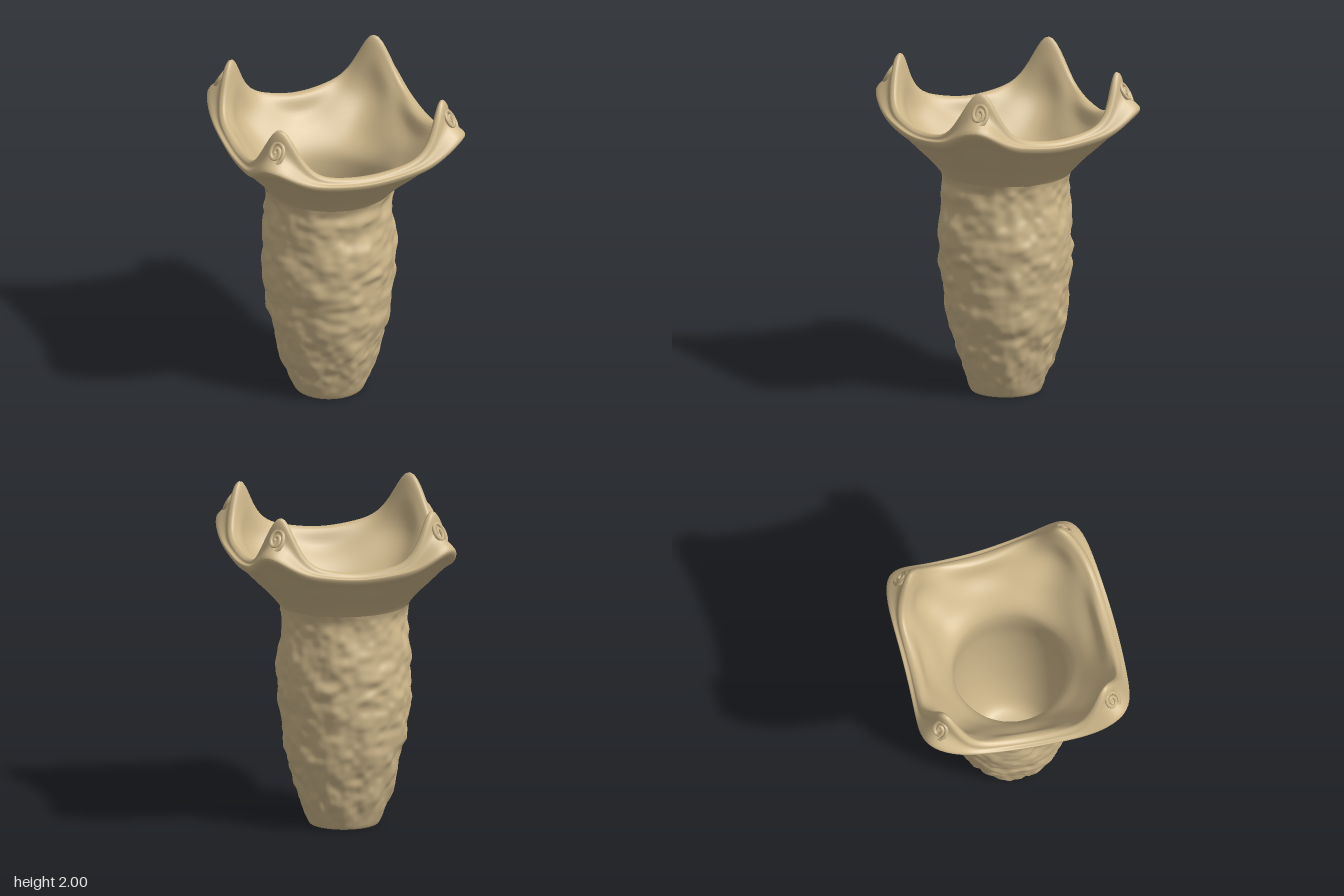
import * as THREE from 'three';

const V = (x, y, z) => new THREE.Vector3(x, y, z);
const COLS = 176;
const CORNERS = [72, 162, 246, 333, 432].map(THREE.MathUtils.degToRad); // rim corners
const lerp = THREE.MathUtils.lerp;

// Closed loft: point(i, j) gives the vertex of column i, row j (outer face when rows rise)
function loft(rows, point) {
  const pos = [], idx = [];
  for (let j = 0; j < rows; j++)
    for (let i = 0; i < COLS; i++) {
      const p = point(i, j);
      pos.push(p.x, p.y, p.z);
      if (j === rows - 1) continue;
      const a = j * COLS + i, b = j * COLS + (i + 1) % COLS;
      idx.push(a, a + COLS, b, b, a + COLS, b + COLS);
    }
  const g = new THREE.BufferGeometry();
  g.setAttribute('position', new THREE.Float32BufferAttribute(pos, 3));
  g.setIndex(idx);
  g.computeVertexNormals();
  return g;
}

// Smooth value noise, periodic in a with the given period
function noise(a, b, period) {
  const hash = (i, j) => {
    const s = Math.sin((((i % period) + period) % period) * 127.1 + j * 311.7 + period) * 43758.5453;
    return s - Math.floor(s);
  };
  const i = Math.floor(a), j = Math.floor(b);
  const s = THREE.MathUtils.smoothstep(a - i, 0, 1), t = THREE.MathUtils.smoothstep(b - j, 0, 1);
  return lerp(lerp(hash(i, j), hash(i + 1, j), s), lerp(hash(i, j + 1), hash(i + 1, j + 1), s), t) - 0.5;
}

// Column number to angle, with d the offset from the nearest corner
function column(i) {
  const u = (i / COLS) * 4, k = Math.floor(u), f = u - k;
  return { angle: lerp(CORNERS[k], CORNERS[k + 1], f), d: (f < 0.5 ? f : f - 1) * Math.PI / 2 };
}

// One radial section of the flared bowl: outside, lip, curled tip, inside, floor
function bowlSection(i) {
  const { angle, d } = column(i);
  const e = d + Math.PI / 4;
  const R = 0.64 / Math.pow(Math.abs(Math.cos(e)) ** 7 + Math.abs(Math.sin(e)) ** 7, 1 / 7);
  const rise = (1 + Math.cos(4 * d)) / 2;
  const peak = Math.exp(-((d / 0.2) ** 2));
  const lipY = 1.62 + 0.05 * rise + 0.1 * peak;
  const tipR = R - 0.045 - 0.09 * peak, tipY = 1.665 + 0.065 * rise + 0.27 * peak;
  const out = (t) => [lerp(0.39, R, t), lerp(1.36, lipY, t)];
  const pts = [
    [0.365, 1.3], [0.385, 1.34], out(0.2), out(0.5), out(0.8), [R - 0.012, lipY - 0.02],
    [R, lipY + 0.015],
    [lerp(R, tipR, 0.5) - 0.025 * peak, lerp(lipY, tipY, 0.45)],
    [tipR + 0.012, tipY - 0.012], [tipR - 0.012, tipY - 0.003],
    [tipR - 0.045, lerp(tipY, 1.62, 0.35)],
    [lerp(0.335, R, 0.58), lerp(1.56, 1.64, rise)],
    [lerp(0.335, R, 0.28), 1.47],
    [0.35, 1.36], [0.335, 1.25], [0.355, 0.95], [0.335, 0.6], [0.27, 0.3], [0.19, 0.15], [0.09, 0.12], [0.001, 0.12],
  ].map(([r, y]) => {
    const off = lerp(0.015, 0.03, THREE.MathUtils.clamp((y - 1.3) / 0.3, 0, 1));
    return V(r * Math.cos(angle) + off, y, r * Math.sin(angle) - off);
  });
  return new THREE.CatmullRomCurve3(pts, false, 'centripetal');
}

export function createModel() {
  const group = new THREE.Group();
  const clay = new THREE.MeshStandardMaterial({ color: 0xcdb68a });
  clay.name = 'tan clay';
  const add = (name, geometry) => {
    const m = new THREE.Mesh(geometry, clay);
    m.name = name;
    group.add(m);
    return m;
  };

  // Hammered body
  const profile = new THREE.SplineCurve([
    [0.2, 0.008], [0.215, 0.015], [0.285, 0.2], [0.335, 0.38], [0.368, 0.55], [0.393, 0.8], [0.392, 1.0],
    [0.375, 1.18], [0.37, 1.28], [0.388, 1.345],
  ].map(([x, y]) => new THREE.Vector2(x, y)));
  const ROWS = 110;
  const outline = profile.getSpacedPoints(ROWS - 1);
  add('body', loft(ROWS, (i, j) => {
    const { x: r, y } = outline[j];
    const a = i / COLS, fade = Math.min(1, y / 0.15, (1.345 - y) / 0.06);
    const warp = noise(a * 9, y * 4, 9) * 1.6;
    const bump = 0.026 * noise(a * 24 + warp, y * 10 + warp, 24) + 0.014 * noise(a * 46 - warp, y * 21, 46);
    const rr = r + bump * Math.max(0, fade), t = column(i).angle;
    return V(rr * Math.cos(t) + 0.015, y, rr * Math.sin(t) - 0.015);
  }));

  // Underside
  const base = add('base', new THREE.CircleGeometry(0.202, 48));
  base.rotation.x = Math.PI / 2;
  base.position.set(0.015, 0.006, -0.015);

  // Flared four-cornered bowl with its hollow inside
  const sections = Array.from({ length: COLS }, (_, i) => bowlSection(i).getPoints(100));
  add('flaredBowl', loft(101, (i, j) => sections[i][j]));

  // Spiral scroll on the outer face of each corner
  const spiral = new THREE.CatmullRomCurve3(Array.from({ length: 26 }, (_, k) => {
    const t = k / 25, a = t * Math.PI * 3.6 - Math.PI / 2, r = lerp(0.062, 0.012, t);
    return V(r * 0.85 * Math.cos(a), r * 1.2 * Math.sin(a), 0);
  }));
  const scroll = new THREE.TubeGeometry(spiral, 80, 0.012, 7);
  CORNERS.slice(0, 4).forEach((t, k) => {
    const m = add('cornerScroll' + (k + 1), scroll);
    const c = Math.cos(t), s = Math.sin(t);
    m.position.set(0.735 * c + 0.03, 1.875, 0.735 * s - 0.03);
    m.lookAt(m.position.clone().add(V(0.85 * c, 0.5, 0.85 * s)));
  });
  return group;
}
